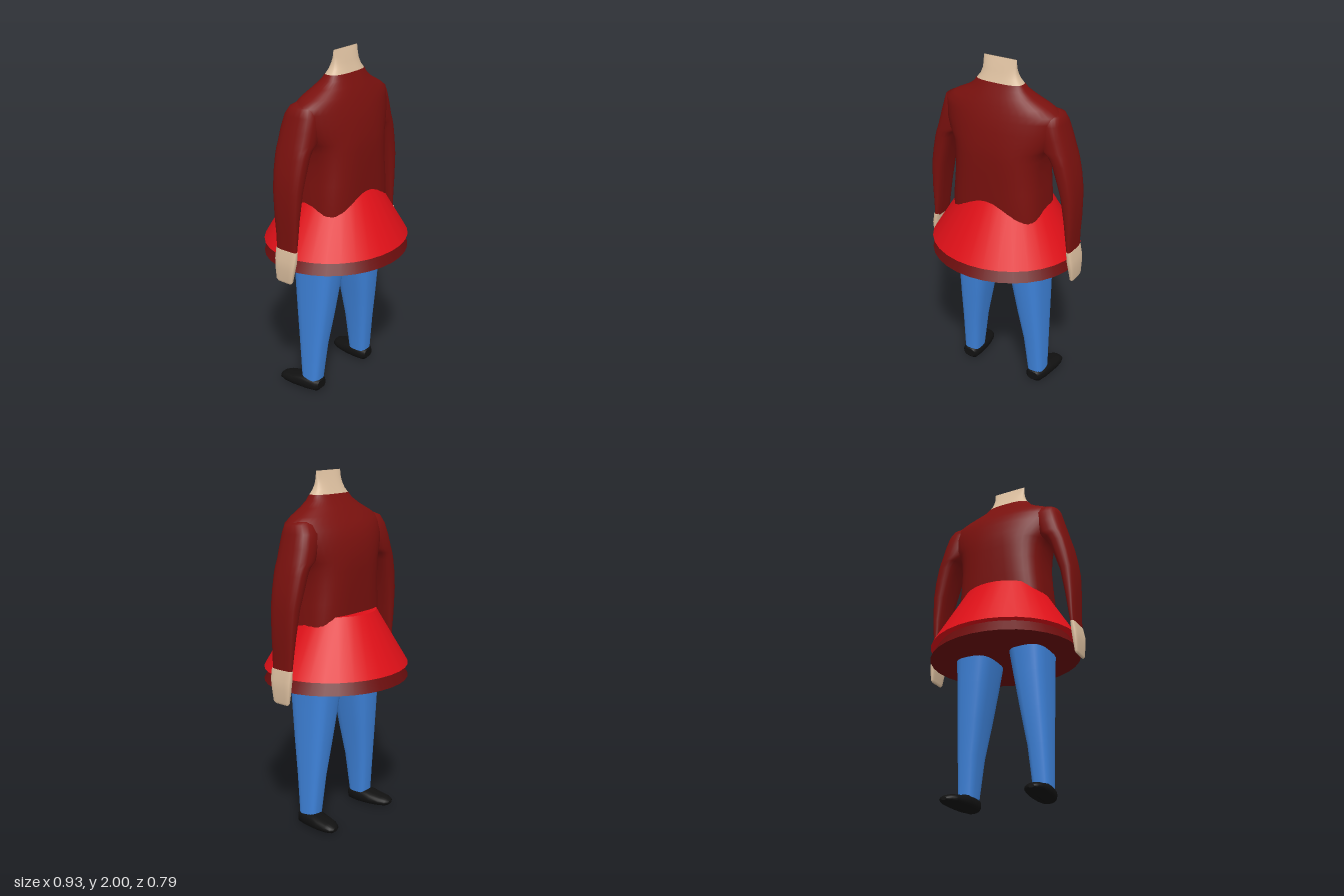
import * as THREE from 'three';

const mat = (color, side = THREE.FrontSide) => new THREE.MeshStandardMaterial({ color, side });

// Loft rounded-square rings up the y axis. Each section: [y, cx, cz, rx, rz, roundness]
function loft(sections, seg, capBottom = true, capTop = true) {
  const pos = [], idx = [];
  const ring = ([y, cx, cz, rx, rz, n = 2]) => {
    const start = pos.length / 3;
    for (let i = 0; i < seg; i++) {
      const a = (i / seg) * Math.PI * 2, c = Math.cos(a), s = Math.sin(a);
      pos.push(
        cx + rx * Math.sign(c) * Math.abs(c) ** (2 / n), y,
        cz + rz * Math.sign(s) * Math.abs(s) ** (2 / n));
    }
    return start;
  };
  const starts = sections.map(ring);
  for (let k = 0; k < starts.length - 1; k++) {
    for (let i = 0; i < seg; i++) {
      const j = (i + 1) % seg, lo = starts[k], hi = starts[k + 1];
      idx.push(lo + i, hi + i, lo + j, lo + j, hi + i, hi + j);
    }
  }
  const cap = (section, up) => {
    const s = ring(section), mid = pos.length / 3;
    pos.push(section[1], section[0], section[2]);
    for (let i = 0; i < seg; i++) {
      const j = (i + 1) % seg;
      if (up) idx.push(mid, s + j, s + i);
      else idx.push(mid, s + i, s + j);
    }
  };
  if (capBottom) cap(sections[0], false);
  if (capTop) cap(sections[sections.length - 1], true);
  const geo = new THREE.BufferGeometry();
  geo.setAttribute('position', new THREE.Float32BufferAttribute(pos, 3));
  geo.setIndex(idx);
  geo.computeVertexNormals();
  return geo;
}

export function createModel() {
  const model = new THREE.Group();
  const sweater = mat(0x7a110e), red = mat(0xe01018), dark = mat(0x6a0d0d);
  const skin = mat(0xdcbf9f), skinOpen = mat(0xdcbf9f, THREE.DoubleSide);
  const denim = mat(0x3f84dc), black = mat(0x111111);
  const add = (name, geo, material, parent = model) => {
    const mesh = new THREE.Mesh(geo, material);
    mesh.name = name;
    parent.add(mesh);
  };

  // Torso, widening into the shoulders and closing to the collar
  add('torso', loft([
    [1.08, 0, 0.03, 0.27, 0.182, 3.4],
    [1.20, 0, 0.03, 0.268, 0.186, 3.4],
    [1.30, 0, 0.027, 0.26, 0.19, 3.2],
    [1.40, 0, 0.026, 0.256, 0.193, 3],
    [1.48, 0, 0.024, 0.264, 0.194, 2.8],
    [1.53, 0, 0.023, 0.28, 0.192, 2.6],
    [1.57, 0, 0.022, 0.315, 0.188, 2.3],
    [1.64, 0, 0.022, 0.34, 0.178, 2.2],
    [1.70, 0, 0.026, 0.345, 0.158, 2.2],
    [1.735, 0, 0.032, 0.345, 0.14, 2.2],
    [1.77, 0, 0.038, 0.29, 0.122, 2.3],
    [1.81, 0, 0.045, 0.21, 0.098, 2.4],
    [1.845, 0, 0.052, 0.16, 0.074, 2.6],
    [1.875, 0, 0.056, 0.138, 0.056, 2.8],
  ], 40, true, false), sweater);

  // Neck pinches to a thin edge
  add('neck', loft([
    [1.872, 0, 0.056, 0.138, 0.056, 2.8],
    [1.90, 0, 0.057, 0.116, 0.043, 2.8],
    [1.93, 0, 0.058, 0.104, 0.031, 2.8],
    [1.96, 0, 0.06, 0.1, 0.019, 2.8],
    [2.00, 0, 0.06, 0.1, 0.003, 2.8],
  ], 40, false, false), skinOpen);

  // Two stacked skirt tiers
  const tier = y => loft([[y, 0, 0, 0.432, 0.393], [y + 0.315, 0, 0, 0.238, 0.215]], 32);
  add('skirt', tier(0.918), red);
  add('underskirt', tier(0.845), dark);

  for (const [side, label] of [[1, 'left'], [-1, 'right']]) {
    const mirror = list => list.map(([y, cx, ...rest]) => [y, cx * side, ...rest]);

    const arm = new THREE.Group();
    arm.name = label + 'Arm';
    add('sleeve', loft(mirror([
      [0.955, 0.436, 0.01, 0.013, 0.068, 3],
      [1.05, 0.43, 0.009, 0.021, 0.073, 3],
      [1.15, 0.426, 0.007, 0.03, 0.08, 3],
      [1.30, 0.413, 0.005, 0.042, 0.09, 3],
      [1.40, 0.39, 0.003, 0.05, 0.097, 3],
      [1.48, 0.369, 0.003, 0.054, 0.102, 2.9],
      [1.52, 0.351, 0.003, 0.061, 0.105, 2.8],
      [1.55, 0.326, 0.003, 0.079, 0.107, 2.7],
      [1.62, 0.305, 0.005, 0.08, 0.107, 2.6],
      [1.69, 0.285, 0.01, 0.079, 0.1, 2.6],
      [1.735, 0.27, 0.018, 0.081, 0.08, 2.6],
      [1.75, 0.255, 0.022, 0.06, 0.06, 2.6],
    ]), 24), sweater, arm);
    add('hand', loft(mirror([
      [0.778, 0.452, 0.003, 0.004, 0.045, 4],
      [0.79, 0.452, 0.004, 0.01, 0.056, 4],
      [0.86, 0.449, 0.007, 0.016, 0.066, 4],
      [0.91, 0.445, 0.01, 0.018, 0.072, 4],
      [0.968, 0.437, 0.011, 0.014, 0.072, 4],
    ]), 24), skin, arm);
    model.add(arm);

    const leg = new THREE.Group();
    leg.name = label + 'Leg';
    add('trouserLeg', loft(mirror([
      [0.07, 0.224, 0.003, 0.05, 0.06, 3],
      [0.30, 0.212, 0.004, 0.061, 0.083, 3],
      [0.50, 0.194, 0.007, 0.079, 0.108, 3],
      [0.70, 0.177, 0.009, 0.096, 0.13, 3],
      [0.88, 0.164, 0.01, 0.112, 0.148, 3],
    ]), 24), denim, leg);
    // Shoe is lofted heel to toe, then laid down so the toe points to -z
    add('shoe', loft(mirror([
      [-0.07, 0.225, 0.045, 0.035, 0.026, 2.6],
      [-0.055, 0.226, 0.043, 0.05, 0.04, 2.6],
      [0.0, 0.23, 0.042, 0.059, 0.042, 2.6],
      [0.055, 0.234, 0.042, 0.063, 0.042, 2.5],
      [0.10, 0.239, 0.037, 0.063, 0.035, 2.4],
      [0.16, 0.245, 0.034, 0.055, 0.029, 2.2],
      [0.192, 0.25, 0.031, 0.04, 0.021, 2],
      [0.206, 0.253, 0.03, 0.016, 0.009, 2],
    ]), 20).rotateX(-Math.PI / 2), black, leg);
    model.add(leg);
  }
  return model;
}
